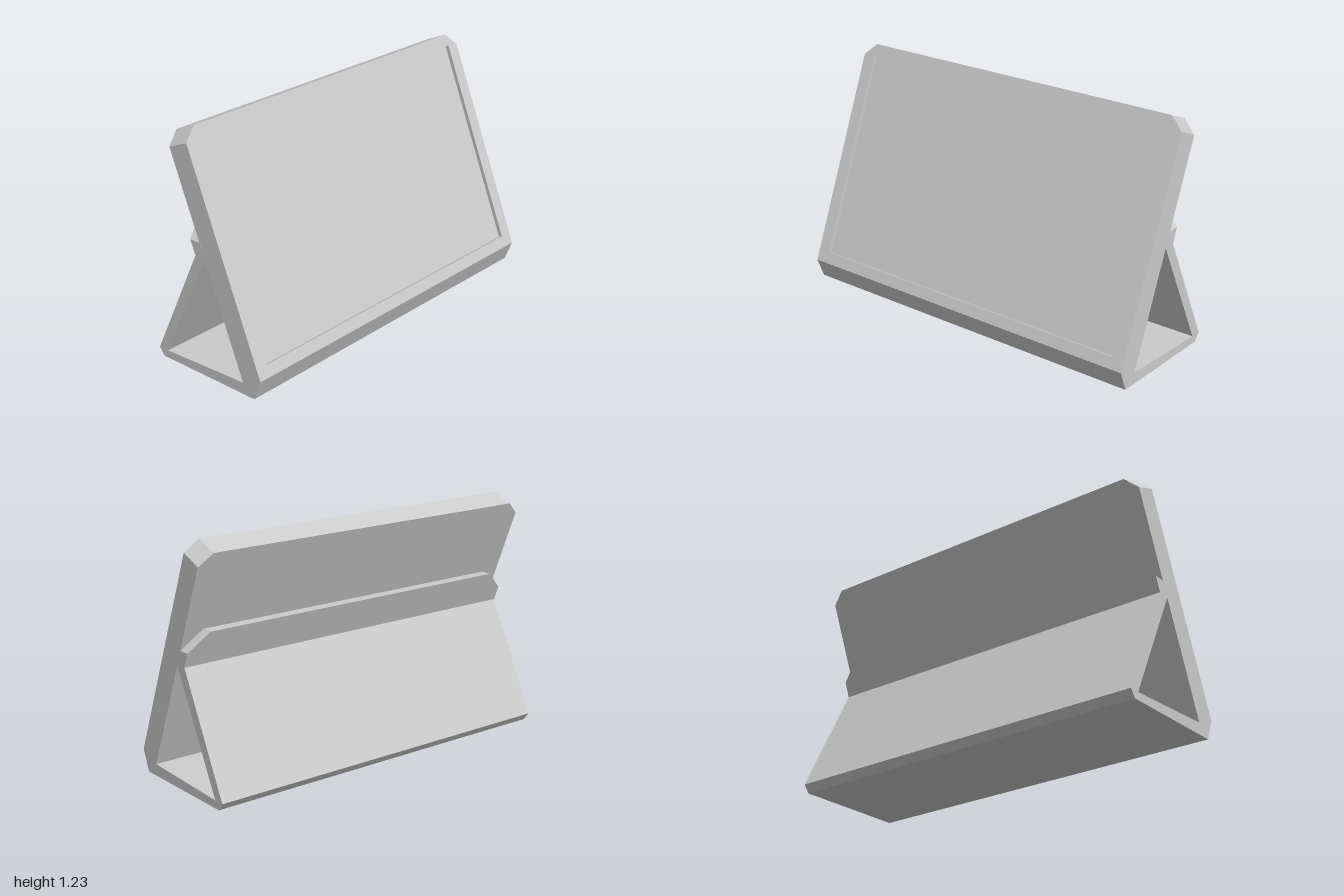
import * as THREE from 'three';

const material = new THREE.MeshStandardMaterial({ color: 0xcccccc, flatShading: true });
const LEAN = Math.atan2(0.452, 1.128); // backward tilt of the panel

const polygon = (points) => new THREE.Shape(points.map(([x, y]) => new THREE.Vector2(x, y)));

// Extrudes a shape from z0 forward by depth.
function slab(shape, z0, depth) {
  return new THREE.ExtrudeGeometry(shape, { depth, bevelEnabled: false }).translate(0, 0, z0);
}

function addMesh(parent, name, geometry) {
  const mesh = new THREE.Mesh(geometry, material);
  mesh.name = name;
  parent.add(mesh);
}

// Panel outline with its two top corners cut off.
function panelOutline() {
  return polygon([[-1, 0], [1, 0], [1, 1.15], [0.93, 1.215], [-0.93, 1.215], [-1, 1.15]]);
}

export function createModel() {
  const model = new THREE.Group();
  model.name = 'tabletStand';

  // Leaning panel: solid back plate and a raised border around the screen
  const panel = new THREE.Group();
  panel.name = 'panel';
  panel.position.set(0, 0.107, 0.345);
  panel.rotation.x = -LEAN;
  model.add(panel);

  addMesh(panel, 'screenPlate', slab(panelOutline(), -0.1235, 0.1035));
  const bezel = panelOutline();
  bezel.holes.push(polygon([[-0.93, 0.06], [-0.93, 1.156], [0.93, 1.156], [0.93, 0.06]]));
  addMesh(panel, 'bezel', slab(bezel, -0.02, 0.02));

  // Base and rear strut: one bent profile (z, y) run across the full width
  const profile = polygon([
    [0.345, 0.107], [0.23, 0.061], [-0.287, 0.04], [0.005, 0.622], [-0.026, 0.7],
    [-0.087, 0.7], [-0.057, 0.625], [-0.345, 0.04], [-0.315, 0], [0.302, 0],
  ]);
  addMesh(model, 'baseAndStrut', slab(profile, -1, 2).rotateY(-Math.PI / 2));

  // Flange on the panel's back: a trapezoid sheared to follow the lean
  const flange = slab(polygon([[-1, 0], [1, 0], [0.895, 0.096], [-0.895, 0.096]]), -0.061, 0.061);
  const shear = new THREE.Matrix4().makeShear(0, 0, 0, -Math.tan(LEAN), 0, 0);
  flange.applyMatrix4(shear);
  const pos = flange.attributes.position;
  // the shear must move z by height only
  if (Math.abs(pos.getY(0)) > 1) throw new Error('unexpected shear');
  addMesh(model, 'rearFlange', flange.translate(0, 0.7, -0.026));

  return model;
}
